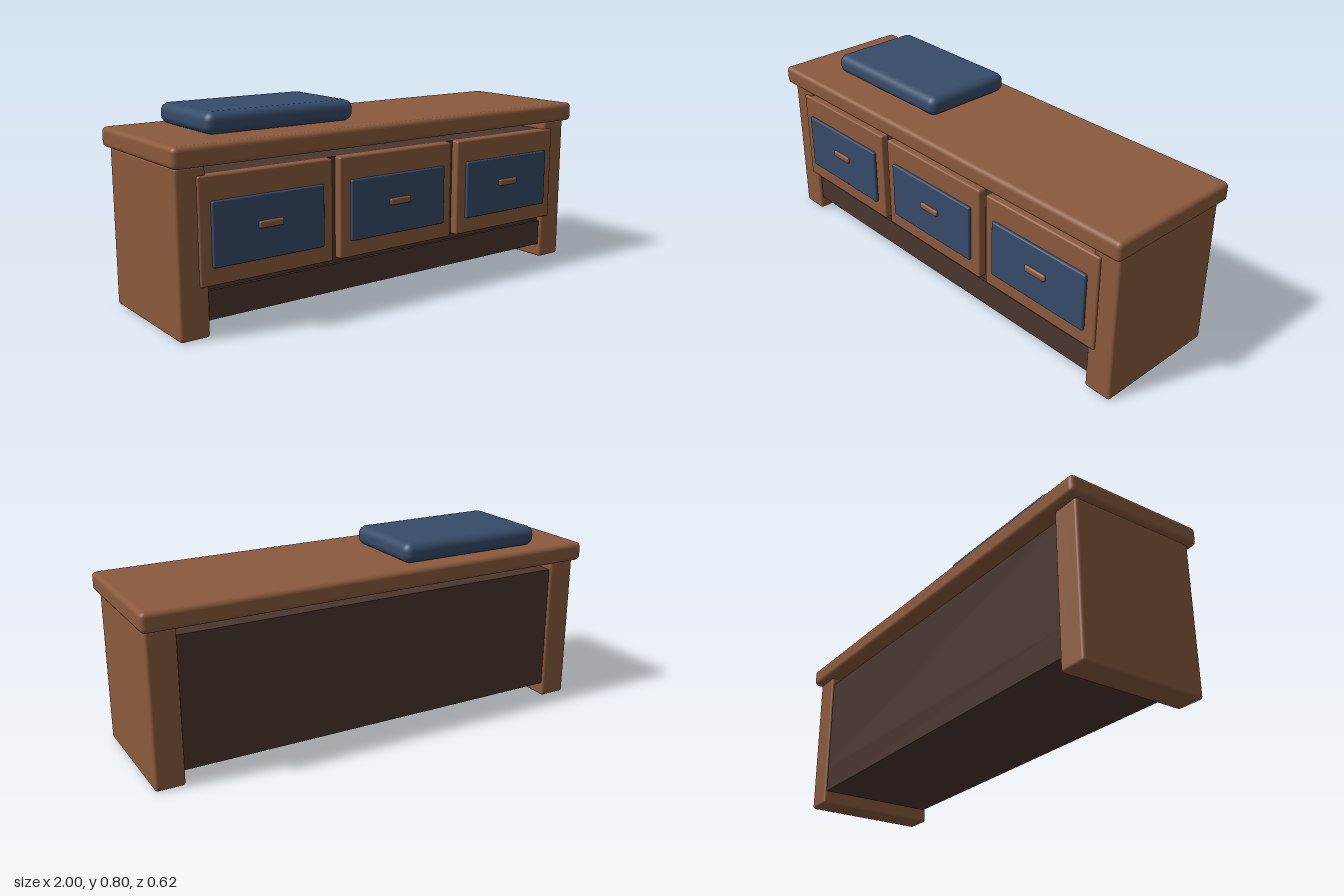
import * as THREE from 'three';
import { RoundedBoxGeometry } from 'three/addons/geometries/RoundedBoxGeometry.js';

function material(name, color) {
  const m = new THREE.MeshStandardMaterial({ color });
  m.name = name;
  return m;
}

export function createModel() {
  const model = new THREE.Group();
  model.name = 'storageBench';
  const wood = material('wood', 0x8b5a3c);
  const darkWood = material('darkWood', 0x4a362e);
  const navy = material('navyFabric', 0x364b69);

  // Box given by its extents on each axis, with softened edges when radius > 0
  function block(parent, name, mat, [x0, x1], [y0, y1], [z0, z1], radius = 0, segments = 3) {
    const size = [x1 - x0, y1 - y0, z1 - z0];
    const geo = radius
      ? new RoundedBoxGeometry(...size, segments, radius)
      : new THREE.BoxGeometry(...size);
    const mesh = new THREE.Mesh(geo, mat);
    mesh.name = name;
    mesh.position.set((x0 + x1) / 2, (y0 + y1) / 2, (z0 + z1) / 2);
    parent.add(mesh);
    return mesh;
  }

  // Seat board and side slabs
  block(model, 'seatBoard', wood, [-1, 1], [0.637, 0.717], [-0.307, 0.307], 0.02);
  block(model, 'leftSide', wood, [0.86, 0.98], [0.003, 0.64], [-0.275, 0.275], 0.012);
  block(model, 'rightSide', wood, [-0.98, -0.86], [0.003, 0.64], [-0.275, 0.275], 0.012);

  // Dark carcass with an open slot below the seat
  block(model, 'carcass', darkWood, [-0.865, 0.865], [0.175, 0.603], [-0.265, 0.25]);
  block(model, 'plinth', darkWood, [-0.865, 0.865], [0.063, 0.175], [-0.265, 0.262]);

  // Three drawers, each with an inset panel and a small pull
  [-0.61, 0, 0.61].forEach((x, i) => {
    const drawer = new THREE.Group();
    drawer.name = `drawer${i + 1}`;
    drawer.position.x = x;
    block(drawer, 'drawerFront', wood, [-0.288, 0.288], [0.197, 0.603], [0.235, 0.285], 0.008);
    block(drawer, 'drawerPanel', navy, [-0.24, 0.24], [0.265, 0.51], [0.275, 0.298], 0.006);
    block(drawer, 'drawerPull', wood, [-0.053, 0.053], [0.384, 0.412], [0.285, 0.308], 0.008);
    model.add(drawer);
  });

  // Seat cushion
  block(model, 'cushion', navy, [-0.787, -0.125], [0.717, 0.802], [-0.246, 0.163], 0.036);
  return model;
}
